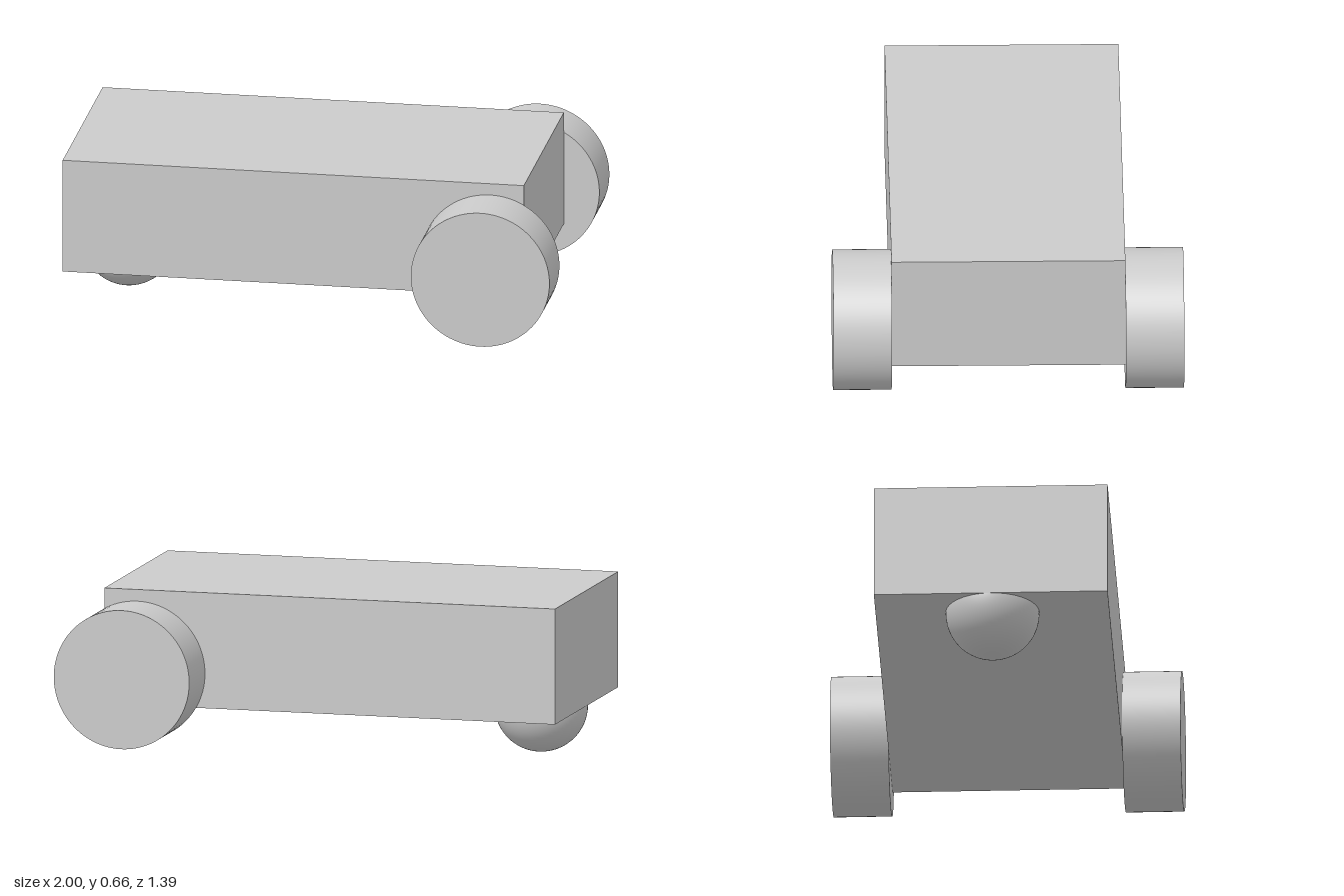
import * as THREE from 'three';

const material = new THREE.MeshStandardMaterial({ color: 0xcccccc });

function addPart(group, name, geometry, x, y, z) {
  const mesh = new THREE.Mesh(geometry, material);
  mesh.name = name;
  mesh.position.set(x, y, z);
  group.add(mesh);
  return mesh;
}

export function createModel() {
  const group = new THREE.Group();
  group.name = 'wheeledChassis';

  // Box body resting on the wheels and the ball caster
  const bottom = 0.19, top = 0.655, halfWidth = 0.464;
  const xMin = -1, xMax = 0.857;
  addPart(group, 'body',
    new THREE.BoxGeometry(xMax - xMin, top - bottom, halfWidth * 2),
    (xMin + xMax) / 2, (bottom + top) / 2, 0);

  // Pair of drive wheels, flush against the body sides
  const wheelRadius = 0.279, wheelWidth = 0.232;
  const wheelGeometry = new THREE.CylinderGeometry(wheelRadius, wheelRadius, wheelWidth, 96);
  wheelGeometry.rotateX(Math.PI / 2);
  for (const [name, side] of [['frontWheel', 1], ['backWheel', -1]]) {
    addPart(group, name, wheelGeometry, 1 - wheelRadius, 0.329, side * (halfWidth + wheelWidth / 2));
  }

  // Ball caster, half sunk into the underside
  const ballRadius = 0.186;
  addPart(group, 'ballCaster', new THREE.SphereGeometry(ballRadius, 64, 40),
    xMin + ballRadius + 0.001, ballRadius, 0);

  return group;
}
